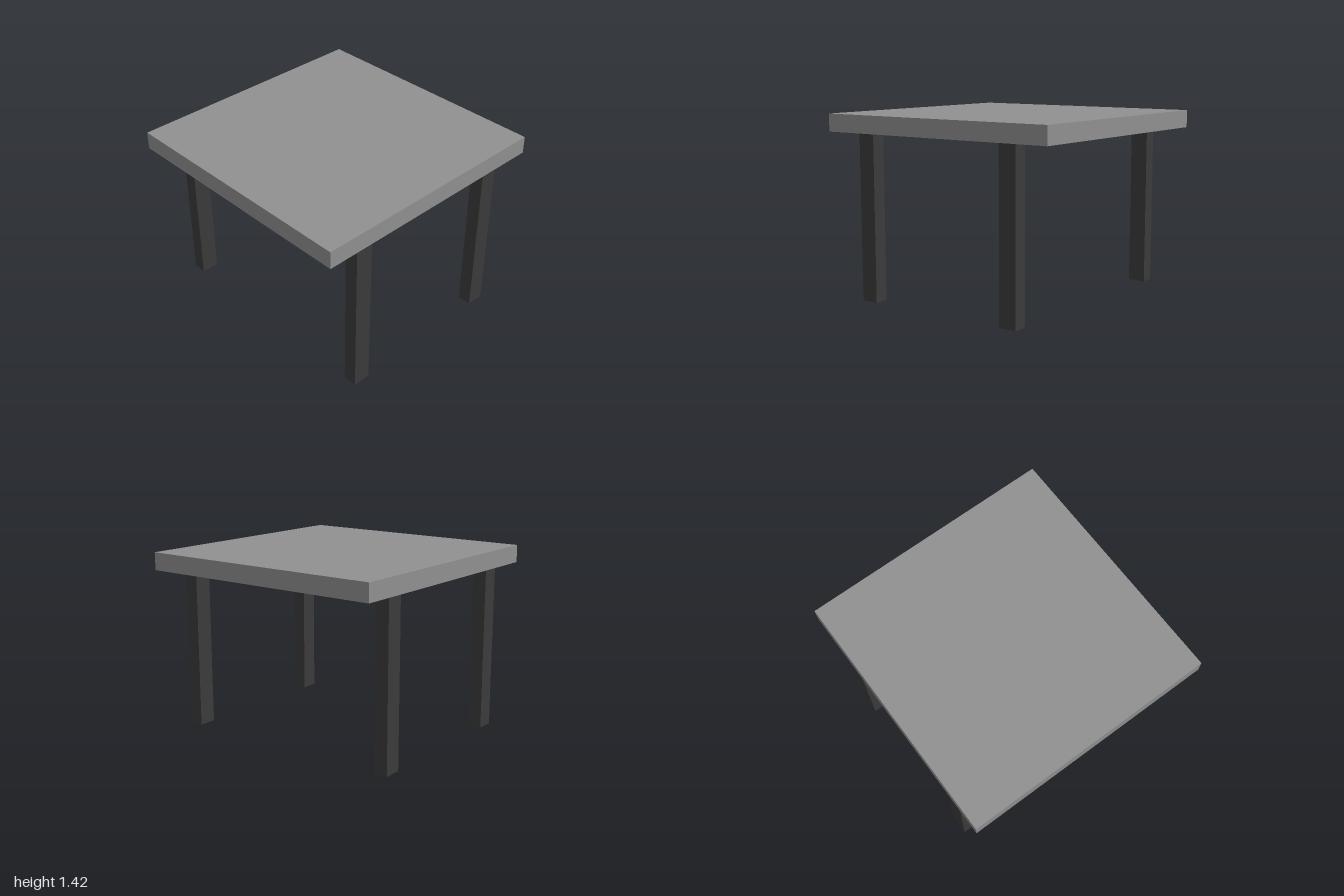
import * as THREE from 'three';

const topGrey = new THREE.MeshStandardMaterial({ color: 0x909090 });
topGrey.name = 'tabletop grey';
const legGrey = new THREE.MeshStandardMaterial({ color: 0x3b3b3b });
legGrey.name = 'leg charcoal';

const HALF = 1, TOP = 1.42, RIM = 1.283, CEILING = 1.363, INSET = 0.176;

// Square slab with a hollowed underside whose walls slope in from the rim
function tabletopGeometry() {
  const profile = [
    [0, CEILING], [HALF - INSET, CEILING], [HALF, RIM], [HALF, TOP], [0, TOP],
  ].map(([r, y]) => new THREE.Vector2(r * Math.SQRT2, y));
  const geometry = new THREE.LatheGeometry(profile, 4, Math.PI / 4).toNonIndexed();
  geometry.computeVertexNormals(); // flat faces
  return geometry;
}

export function createModel() {
  const table = new THREE.Group();
  table.name = 'table';

  const tabletop = new THREE.Mesh(tabletopGeometry(), topGrey);
  tabletop.name = 'tabletop';
  table.add(tabletop);

  // Four legs whose tops run up into the sloped underside
  const legHeight = CEILING - 0.005;
  const legGeometry = new THREE.BoxGeometry(0.14, legHeight, 0.108);
  for (const [side, x] of [['Left', 0.65], ['Right', -0.65]]) {
    for (const [end, z] of [['front', 0.907], ['back', -0.907]]) {
      const leg = new THREE.Mesh(legGeometry, legGrey);
      leg.name = `${end}${side}Leg`;
      leg.position.set(x, legHeight / 2, z);
      table.add(leg);
    }
  }
  return table;
}
